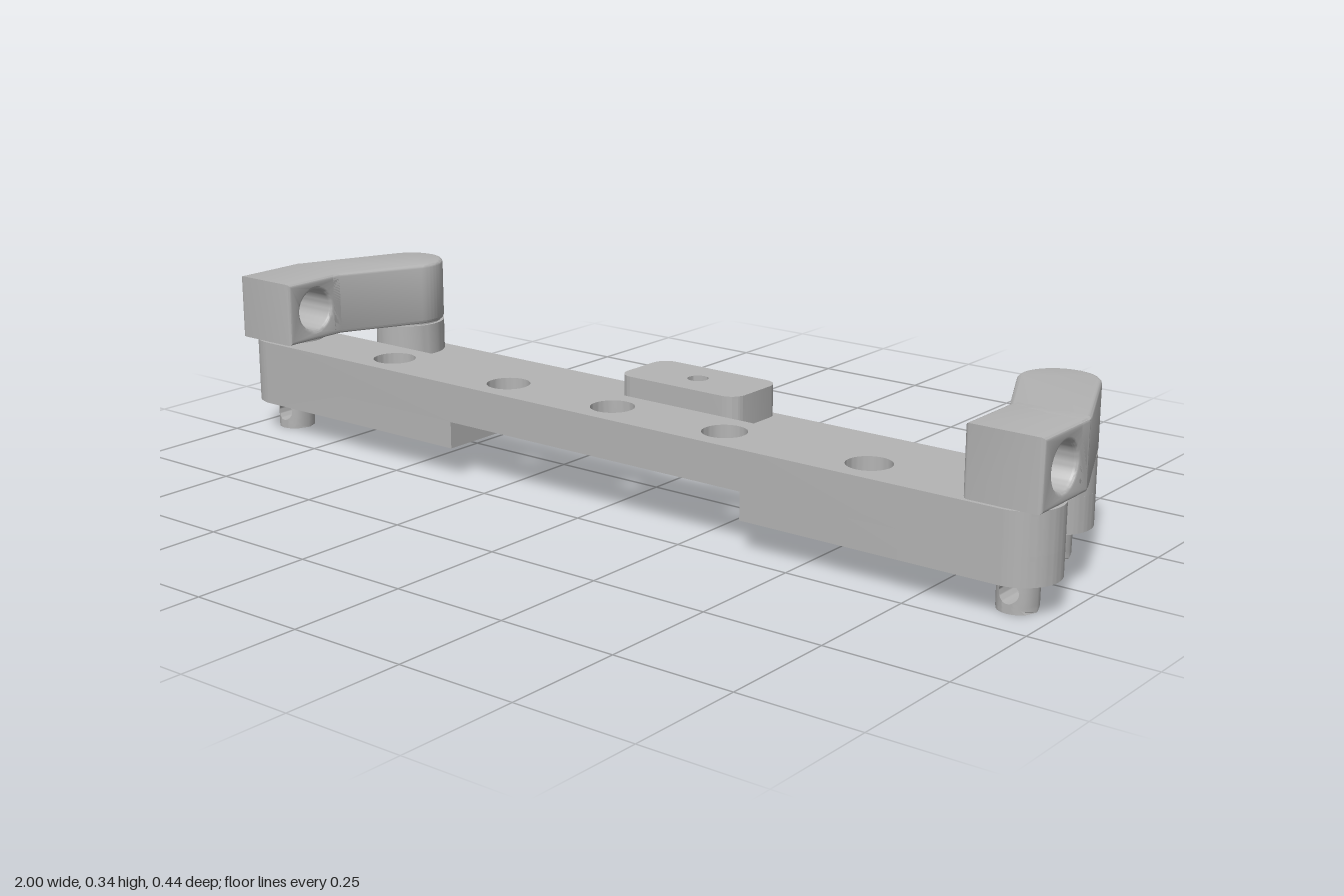
import * as THREE from 'three';
import { toCreasedNormals } from 'three/addons/utils/BufferGeometryUtils.js';

const R = 0.0775;                 // half width of bars
const Z = 0.14;                   // bar centre lines at z = +Z and -Z
const FRONT_X = 0.921, BACK_X = 0.833;
const Y0 = 0.065, NOTCH = 0.122, BACK_TOP = 0.135, TOP = 0.204;
const ARM_Y0 = 0.207, ARM_Y1 = 0.344, BEVEL = 0.008;

export function createModel() {
  const model = new THREE.Group();
  model.name = 'bracket';
  const grey = new THREE.MeshStandardMaterial({ color: 0xb4b4b4 });
  grey.name = 'grey metal';

  const add = (parent, name, geo, x = 0, y = 0, z = 0) => {
    const mesh = new THREE.Mesh(toCreasedNormals(geo, 0.6), grey);
    mesh.name = name;
    mesh.position.set(x, y, z);
    parent.add(mesh);
    return mesh;
  };
  const hole = (shape, x, y, r) => {
    shape.holes.push(new THREE.Path().absarc(x, y, r, 0, Math.PI * 2, true));
  };
  // plan outlines use (x, -z) and rise from y0 to y1
  const rise = (shape, y0, y1, bevel = 0) => new THREE.ExtrudeGeometry(shape, {
    depth: y1 - y0 - 2 * bevel, curveSegments: 24, bevelEnabled: bevel > 0,
    bevelThickness: bevel, bevelSize: bevel, bevelOffset: -bevel, bevelSegments: 3,
  }).rotateX(-Math.PI / 2).translate(0, y0 + bevel, 0);

  // bar section with a round outer end
  const halfBar = (x0, cx) => new THREE.Shape()
    .moveTo(x0, -R).lineTo(cx, -R)
    .absarc(cx, 0, R, -Math.PI / 2, Math.PI / 2, false)
    .lineTo(x0, R);

  // front bar: full length upper slab with five holes
  const slab = new THREE.Shape()
    .absarc(FRONT_X, 0, R, -Math.PI / 2, Math.PI / 2, false)
    .absarc(-FRONT_X, 0, R, Math.PI / 2, Math.PI * 1.5, false);
  for (const x of [-0.605, -0.277, 0, 0.277, 0.605]) hole(slab, x, 0, 0.045);
  add(model, 'frontBar', rise(slab, NOTCH, TOP), 0, 0, Z);

  // centre tab bridging the back bars
  const tw = 0.153, c = 0.035;
  const tab = new THREE.Shape()
    .absarc(tw - c, R - c, c, 0, Math.PI / 2, false)
    .absarc(c - tw, R - c, c, Math.PI / 2, Math.PI, false)
    .absarc(c - tw, c - R, c, Math.PI, Math.PI * 1.5, false)
    .absarc(tw - c, c - R, c, Math.PI * 1.5, Math.PI * 2, false);
  hole(tab, 0, 0, 0.022);
  add(model, 'centreTab', rise(tab, BACK_TOP - 0.01, TOP - 0.002), 0, 0, -Z);

  // parts repeated at each end
  const lowerShape = halfBar(0.37, FRONT_X);
  hole(lowerShape, 0.605, 0, 0.065);
  const lower = rise(lowerShape, Y0, NOTCH);
  const back = rise(halfBar(0.073, BACK_X), Y0, BACK_TOP);
  const boss = new THREE.CylinderGeometry(R, R, TOP - Y0, 48);
  const neck = new THREE.CylinderGeometry(0.07, 0.07, 0.02, 40);
  const armRear = rise(armOutline(), ARM_Y0, ARM_Y1, BEVEL);
  const armFront = armBlock();
  const pegGeo = drilledPeg(0.039, Y0, 0.02, 0.038);

  for (const s of [1, -1]) {
    const end = new THREE.Group();
    end.name = s > 0 ? 'leftEnd' : 'rightEnd';
    end.scale.x = s;
    model.add(end);
    add(end, 'frontBarFoot', lower, 0, 0, Z);
    add(end, 'backBar', back, 0, 0, -Z);
    add(end, 'backBoss', boss, BACK_X, (Y0 + TOP) / 2, -Z);
    add(end, 'armRear', armRear);
    add(end, 'armFront', armFront);
    for (const [x, z] of [[FRONT_X, Z], [BACK_X, -Z]]) {
      add(end, 'neck', neck, x, 0.206, z);
      add(end, 'peg', pegGeo, x, 0, z);
    }
  }
  return model;
}

// bent rear of an arm, ending in a round around the back pivot
function armOutline() {
  const tilt = 0.42;
  return new THREE.Shape()
    .moveTo(0.845, -0.085).lineTo(1, -0.085)
    .lineTo(1, -0.062).lineTo(0.994, -0.038)
    .absarc(BACK_X, Z, R, tilt, Math.PI + tilt, false)
    .lineTo(0.845, -0.065);
}

// square front of an arm, bored along x
function armBlock() {
  const shape = new THREE.Shape()
    .moveTo(-0.217, ARM_Y0).lineTo(-0.05, ARM_Y0)
    .lineTo(-0.05, ARM_Y1).lineTo(-0.217, ARM_Y1).closePath();
  shape.holes.push(new THREE.Path().absarc(-Z, 0.275, 0.045, 0, Math.PI * 2, true));
  return new THREE.ExtrudeGeometry(shape, {
    depth: 0.155 - 2 * BEVEL, curveSegments: 24, bevelThickness: BEVEL,
    bevelSize: BEVEL, bevelOffset: -BEVEL, bevelSegments: 3,
  }).rotateY(Math.PI / 2).translate(0.845 + BEVEL, 0, 0);
}

// round peg with a cross hole along z: walls are rings from hole to outline
function drilledPeg(r, h, hr, hy) {
  const N = 48, M = 4, pos = [];
  const point = (i, j, side) => {
    const t = (i / N) * Math.PI * 2, cx = Math.cos(t), sy = Math.sin(t);
    const m = Math.max(Math.abs(cx), Math.abs(sy)), k = j / M;
    const x = THREE.MathUtils.lerp(hr * cx, r * cx / m, k);
    const y = THREE.MathUtils.lerp(hy + hr * sy, h / 2 + (h / 2) * sy / m, k);
    return [x, y, side * Math.sqrt(Math.max(0, r * r - x * x))];
  };
  const quad = (a, b, c, d) => pos.push(...a, ...b, ...c, ...a, ...c, ...d);
  for (let i = 0; i < N; i++) {
    for (let j = 0; j < M; j++) {
      quad(point(i, j, 1), point(i, j + 1, 1), point(i + 1, j + 1, 1), point(i + 1, j, 1));
      quad(point(i, j, -1), point(i + 1, j, -1), point(i + 1, j + 1, -1), point(i, j + 1, -1));
    }
    // bore wall
    quad(point(i, 0, 1), point(i + 1, 0, 1), point(i + 1, 0, -1), point(i, 0, -1));
    // bottom face
    const a = (i / N) * Math.PI * 2, b = ((i + 1) / N) * Math.PI * 2;
    pos.push(0, 0, 0, r * Math.cos(a), 0, r * Math.sin(a), r * Math.cos(b), 0, r * Math.sin(b));
  }
  const geo = new THREE.BufferGeometry();
  geo.setAttribute('position', new THREE.Float32BufferAttribute(pos, 3));
  geo.computeVertexNormals();
  return geo;
}
